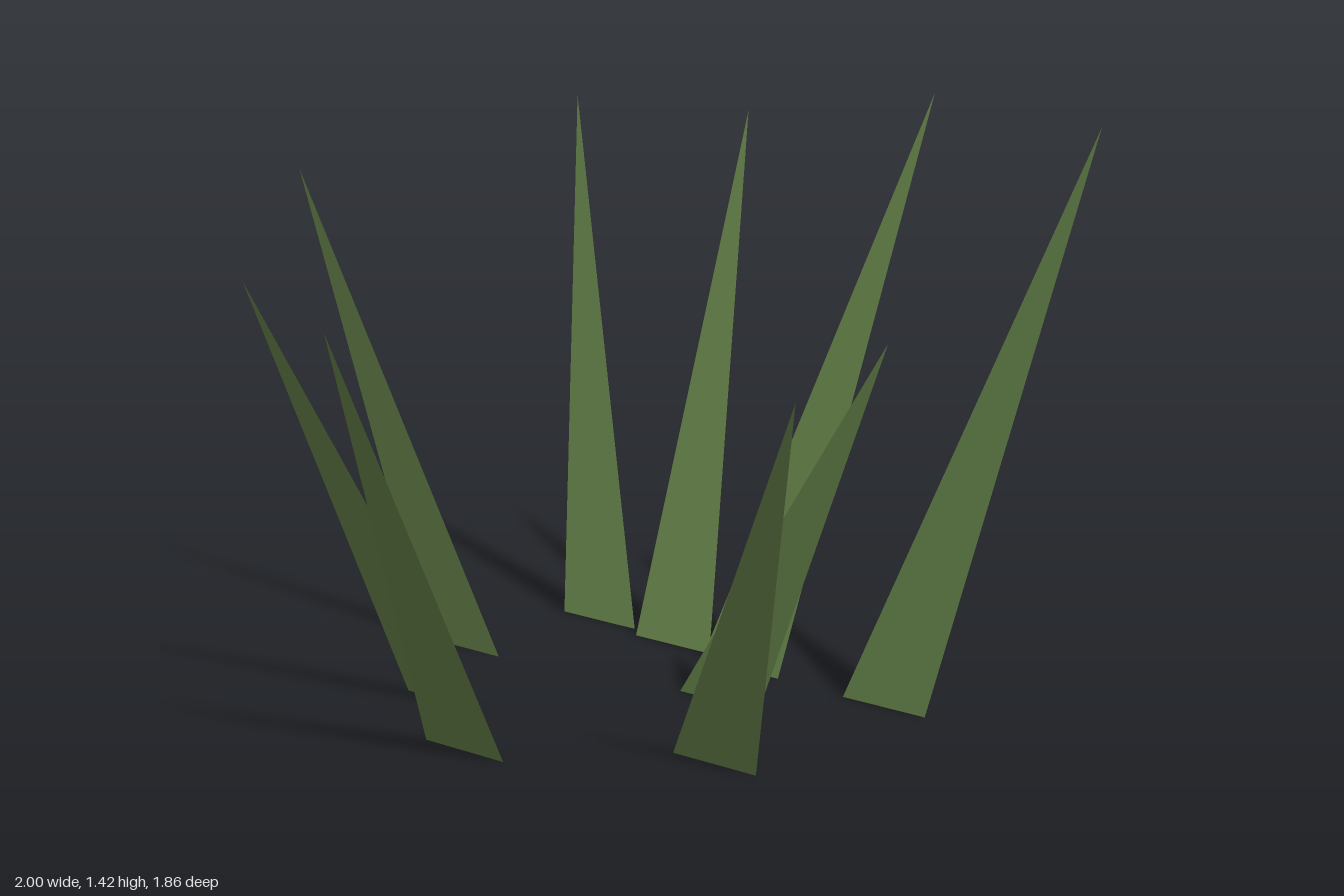
import * as THREE from 'three';

// Each blade: centre x of the base, z of its flat front edge, then the tip x, y, z
const BLADES = [
  [-0.415, -0.515, -0.76, 1.31, -0.84],
  [-0.14, -0.475, -0.26, 1.305, -0.93],
  [0.112, -0.425, 0.4, 1.425, -0.8],
  [0.553, -0.415, 1.0, 1.425, -0.575],
  [0.223, -0.198, 0.695, 0.95, -0.195],
  [-0.532, -0.117, -1.0, 1.19, -0.035],
  [0.485, 0.16, 0.885, 0.955, 0.415],
  [-0.288, 0.222, -0.51, 1.07, 0.645],
  [-0.012, 0.457, 0.03, 1.07, 0.93],
];
const HALF_WIDTH = 0.119;
const RIDGE_DEPTH = 0.033;

// Three-sided spike: flat front, ridged back, closed base
function bladeGeometry(x, z, tx, ty, tz) {
  const left = [x - HALF_WIDTH, 0, z];
  const right = [x + HALF_WIDTH, 0, z];
  const ridge = [x, 0, z - RIDGE_DEPTH];
  const tip = [tx, ty, tz];
  const faces = [
    left, right, tip,
    right, ridge, tip,
    ridge, left, tip,
    left, ridge, right,
  ];
  const geometry = new THREE.BufferGeometry();
  geometry.setAttribute('position', new THREE.Float32BufferAttribute(faces.flat(), 3));
  geometry.computeVertexNormals();
  return geometry;
}

export function createModel() {
  const group = new THREE.Group();
  group.name = 'grassTuft';

  const grassGreen = new THREE.MeshStandardMaterial({ color: 0x6b8a4e });
  grassGreen.name = 'grass green';

  BLADES.forEach((blade, i) => {
    const mesh = new THREE.Mesh(bladeGeometry(...blade), grassGreen);
    mesh.name = `grassBlade${i + 1}`;
    group.add(mesh);
  });
  return group;
}
